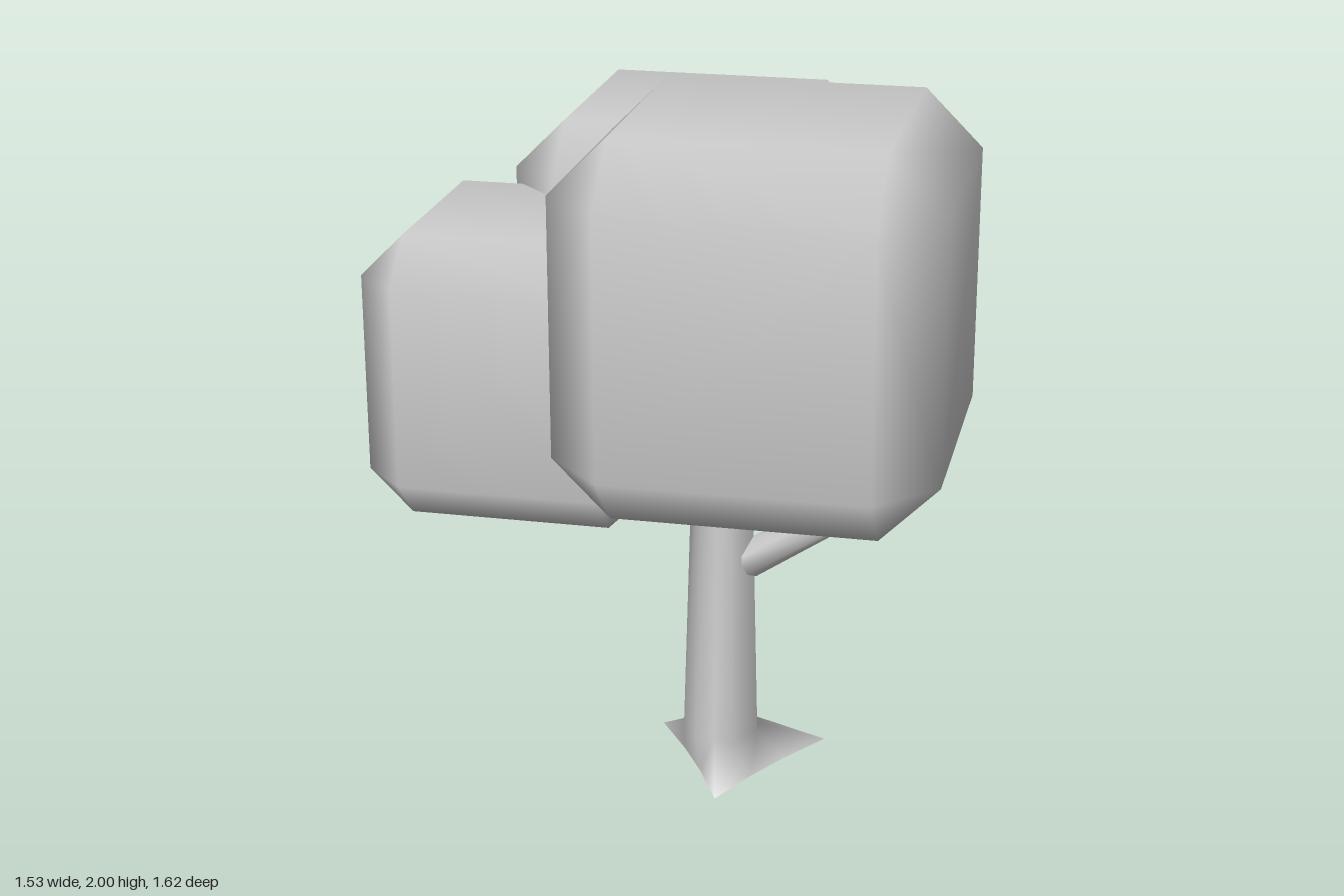
import * as THREE from 'three';
import { ConvexGeometry } from 'three/addons/geometries/ConvexGeometry.js';
import { mergeVertices } from 'three/addons/utils/BufferGeometryUtils.js';

const material = new THREE.MeshStandardMaterial({ color: 0xcccccc });

function add(group, name, geometry) {
  const mesh = new THREE.Mesh(geometry, material);
  mesh.name = name;
  group.add(mesh);
  return mesh;
}

// Skin a list of equal-length rings (counter-clockwise about the path), with flat end caps
function loft(rings) {
  const n = rings[0].length;
  const points = rings.flat();
  const index = [];
  for (let r = 0; r < rings.length - 1; r++) {
    for (let i = 0; i < n; i++) {
      const a = r * n + i, b = r * n + (i + 1) % n;
      index.push(a, b, b + n, a, b + n, a + n);
    }
  }
  [rings[0], rings[rings.length - 1]].forEach((ring, end) => {
    const start = points.length;
    const centre = new THREE.Vector3();
    ring.forEach((p) => centre.addScaledVector(p, 1 / n));
    points.push(...ring, centre);
    for (let i = 0; i < n; i++) {
      const a = start + i, b = start + (i + 1) % n;
      index.push(start + n, end ? a : b, end ? b : a);
    }
  });
  const geometry = new THREE.BufferGeometry().setFromPoints(points);
  geometry.setIndex(index);
  geometry.computeVertexNormals();
  return geometry;
}

// Cube with chamfered edges and soft shading
function chamferedCube(size, chamfer) {
  const h = size / 2, k = h - chamfer;
  const points = [];
  for (const x of [-1, 1]) for (const y of [-1, 1]) for (const z of [-1, 1]) {
    points.push(
      new THREE.Vector3(x * h, y * k, z * k),
      new THREE.Vector3(x * k, y * h, z * k),
      new THREE.Vector3(x * k, y * k, z * h),
    );
  }
  const geometry = new ConvexGeometry(points);
  geometry.deleteAttribute('normal');
  const merged = mergeVertices(geometry, 1e-4);
  merged.computeVertexNormals();
  return merged;
}

// Trunk ring: hexagon corners plus the middle of each of the three root faces
function trunkRing(x, y, z, corner, root) {
  const ring = [];
  for (const mid of [30, 150, 270]) {
    for (const offset of [-30, 0, 30]) {
      const a = THREE.MathUtils.degToRad(mid + offset);
      const r = offset === 0 ? root : corner;
      ring.push(new THREE.Vector3(x + r * Math.cos(a), y, z - r * Math.sin(a)));
    }
  }
  return ring;
}

// Branch ring: hexagon across a path heading at the given angle in the xy plane
function branchRing(x, y, angle, radius) {
  return Array.from({ length: 6 }, (_, i) => {
    const a = i * Math.PI / 3;
    const u = radius * Math.cos(a);
    return new THREE.Vector3(x - u * Math.sin(angle), y + u * Math.cos(angle), 0.01 + radius * Math.sin(a));
  });
}

export function createModel() {
  const tree = new THREE.Group();
  tree.name = 'tree';

  // Trunk flaring into three pointed roots
  add(tree, 'trunk', loft([
    trunkRing(0.115, 0, -0.02, 0.148, 0.28),
    trunkRing(0.08, 0.1, 0.01, 0.108, 0.094),
    trunkRing(0.082, 1.15, 0.012, 0.079, 0.068),
  ]));

  // Bent side branch
  add(tree, 'branch', loft([
    branchRing(0.15, 0.628, 0.6, 0.055),
    branchRing(0.38, 0.775, 0.8, 0.05),
    branchRing(0.51, 1.1, 1.2, 0.038),
  ]));

  // Foliage blocks: name, size, chamfer, centre
  const blocks = [
    ['frontFoliage', 0.995, 0.153, 0.267, 1.5, 0.31],
    ['sideFoliage', 0.765, 0.115, -0.387, 1.293, 0.24],
    ['backFoliage', 0.893, 0.137, -0.063, 1.407, -0.362],
  ];
  for (const [name, size, chamfer, x, y, z] of blocks) {
    add(tree, name, chamferedCube(size, chamfer)).position.set(x, y, z);
  }
  return tree;
}
